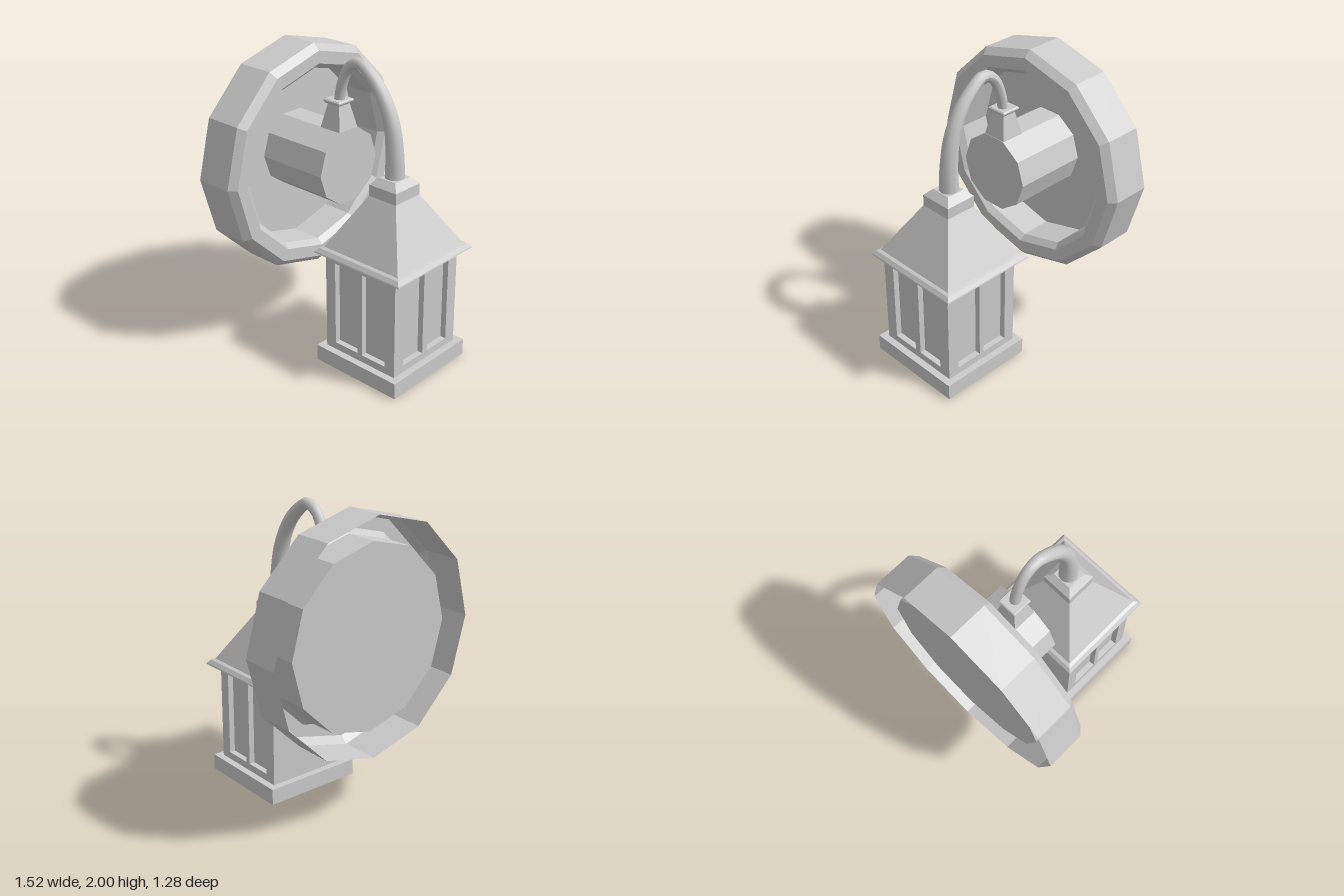
import * as THREE from 'three';

const grey = new THREE.MeshStandardMaterial({ color: 0xcccccc, side: THREE.DoubleSide });

function add(parent, name, geometry, x = 0, y = 0, z = 0) {
  const mesh = new THREE.Mesh(geometry, grey);
  mesh.name = name;
  mesh.position.set(x, y, z);
  parent.add(mesh);
  return mesh;
}

// Faceted solid of revolution from [radius, height] pairs
function facetedLathe(profile, sides) {
  const g = new THREE.LatheGeometry(profile.map(([r, h]) => new THREE.Vector2(r, h)), sides).toNonIndexed();
  g.computeVertexNormals();
  return g;
}

// Square stack from [halfWidth, height] pairs
function squareStack(profile, depthRatio = 1) {
  const g = facetedLathe(profile.map(([h, y]) => [h * Math.SQRT2, y]), 4);
  g.rotateY(Math.PI / 4);
  g.scale(1, 1, depthRatio);
  g.computeVertexNormals();
  return g;
}

function rectangle(target, x0, x1, y0, y1) {
  target.moveTo(x0, y0);
  target.lineTo(x1, y0);
  target.lineTo(x1, y1);
  target.lineTo(x0, y1);
  target.closePath();
  return target;
}

// Wall frame with two tall panes cut out
function windowFrame(x0, x1, panes, depth) {
  const shape = rectangle(new THREE.Shape(), x0, x1, 0.1, 0.8);
  for (const [a, b] of panes) shape.holes.push(rectangle(new THREE.Path(), a, b, 0.16, 0.74));
  return new THREE.ExtrudeGeometry(shape, { depth, bevelEnabled: false });
}

// Tube whose radius runs from r0 to r1
function taperedTube(curve, r0, r1, rings, sides) {
  const g = new THREE.TubeGeometry(curve, rings, 1, sides);
  const pos = g.attributes.position;
  const p = new THREE.Vector3();
  for (let i = 0; i < pos.count; i++) {
    const t = Math.floor(i / (sides + 1)) / rings;
    const c = curve.getPointAt(t);
    p.fromBufferAttribute(pos, i).sub(c).multiplyScalar(THREE.MathUtils.lerp(r0, r1, Math.min(1, t * 1.3))).add(c);
    pos.setXYZ(i, p.x, p.y, p.z);
  }
  g.computeVertexNormals();
  return g;
}

export function createModel() {
  const model = new THREE.Group();
  model.name = 'wallLantern';

  // Twelve-sided wall plate: open-backed shell with a recessed dish
  const plate = facetedLathe([
    [0.762, -0.645], [0.762, -0.39], [0.718, -0.345], [0.635, -0.345],
    [0.6, -0.385], [0.6, -0.6], [0, -0.6],
  ], 12);
  plate.rotateX(Math.PI / 2);
  add(model, 'wallPlate', plate, 0, 1.238, 0);

  // Ten-sided hub standing out of the dish
  const hub = facetedLathe([[0, -0.6], [0.257, -0.6], [0.257, -0.09], [0, -0.09]], 10);
  hub.rotateX(Math.PI / 2);
  hub.rotateZ(Math.PI / 2);
  add(model, 'hub', hub, -0.006, 1.255, 0);

  // Tapered socket that takes the arm
  add(model, 'armSocket', squareStack([
    [0, 1.49], [0.083, 1.49], [0.047, 1.66], [0.06, 1.66], [0.067, 1.672],
    [0.067, 1.68], [0.06, 1.687], [0, 1.687],
  ]), -0.006, 0, -0.174);

  // Gooseneck arm, thicker at the lantern
  const path = new THREE.CatmullRomCurve3([
    [1.26, 0.292], [1.45, 0.289], [1.64, 0.258], [1.80, 0.18], [1.9, 0.085],
    [1.95, 0], [1.905, -0.085], [1.78, -0.146], [1.67, -0.17],
  ].map(([y, z]) => new THREE.Vector3(-0.006, y, z)));
  add(model, 'arm', taperedTube(path, 0.064, 0.034, 28, 12));

  const lantern = new THREE.Group();
  lantern.name = 'lantern';
  model.add(lantern);

  // Roof with eave, pyramid and collar
  add(lantern, 'roof', squareStack([
    [0, 0.79], [0.36, 0.79], [0.357, 0.798], [0.338, 0.822], [0.316, 0.83], [0.112, 1.17],
    [0.112, 1.245], [0.068, 1.29], [0, 1.29],
  ], 0.962), -0.01, 0, 0.293);

  // Recessed panes and plain back wall
  const cx = -0.023, front = 0.577, back = 0.003, inset = 0.04, half = 0.3;
  add(lantern, 'panes', new THREE.BoxGeometry(2 * (half - inset), 0.7, front - inset - back),
    cx, 0.45, (front - inset + back) / 2);

  // Window frames on the front and both sides
  add(lantern, 'frontFrame',
    windowFrame(-half, half, [[-0.215, -0.023], [0.023, 0.215]], inset), cx, 0, front - inset);
  const mid = 0.29;
  for (const side of [1, -1]) {
    const ends = [side * (mid - back), -side * (front - inset - mid)].sort((a, b) => a - b);
    const frame = add(lantern, side > 0 ? 'leftFrame' : 'rightFrame',
      windowFrame(ends[0], ends[1], [[-0.208, -0.018], [0.018, 0.208]], inset),
      cx + side * (half - inset), 0, mid);
    frame.rotation.y = side * Math.PI / 2;
  }

  // Base slab
  add(lantern, 'base', new THREE.BoxGeometry(0.695, 0.11, 0.667), cx, 0.055, 0.291);

  return model;
}
